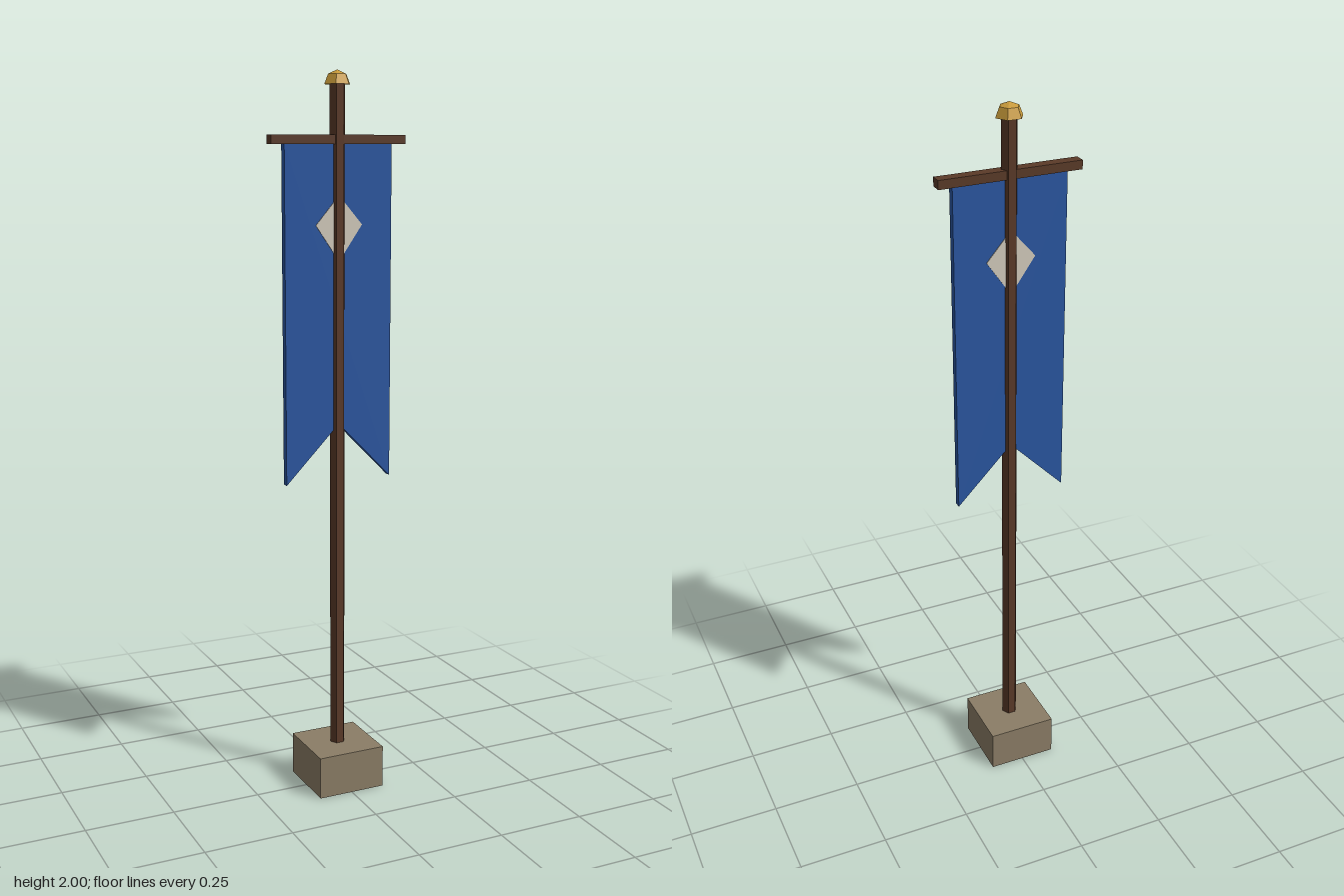
import * as THREE from 'three';

const material = (color) =>
  new THREE.MeshStandardMaterial({ color, flatShading: true, side: THREE.DoubleSide });

// Flat outline in x/y, extruded evenly to both sides of z = 0
function slab(points, depth) {
  const shape = new THREE.Shape(points.map(([x, y]) => new THREE.Vector2(x, y)));
  return new THREE.ExtrudeGeometry(shape, { depth, bevelEnabled: false }).translate(0, 0, -depth / 2);
}

export function createModel() {
  const group = new THREE.Group();
  const wood = material(0x5a3a28);
  const stone = material(0x8b7d66);
  const cloth = material(0x2a56a0);
  const gold = material(0xc89a3a);
  const pale = material(0xd2cabb);

  const add = (name, geometry, mat, y = 0) => {
    const mesh = new THREE.Mesh(geometry, mat);
    mesh.name = name;
    mesh.position.y = y;
    group.add(mesh);
  };

  // Stone block, hollow and open underneath
  const base = new THREE.BoxGeometry(0.196, 0.12, 0.196);
  const index = Array.from(base.index.array);
  index.splice(18, 6); // drop the bottom face
  base.setIndex(index);
  base.clearGroups();
  add('base', base, stone, 0.06);

  // Six-sided pole with corners towards the sides
  add('pole', new THREE.CylinderGeometry(0.022, 0.022, 1.85, 6, 1, false, Math.PI / 6), wood, 1.045);

  // Half-round finial, open underneath
  const finial = new THREE.SphereGeometry(0.0375, 6, 2, 0, Math.PI * 2, 0, Math.PI / 2);
  add('finial', finial, gold, 1.9625);

  add('crossbar', new THREE.BoxGeometry(0.392, 0.024, 0.032), wood, 1.821);

  // Swallow-tailed banner
  add('banner', slab([[-0.157, 1.812], [-0.157, 0.895], [0, 1.055], [0.157, 0.895], [0.157, 1.812]], 0.02), cloth);

  // Diamond emblem, slightly proud of both cloth faces
  add('emblem', slab([[0, 1.675], [-0.068, 1.597], [0, 1.5], [0.068, 1.597]], 0.024), pale);

  return group;
}
